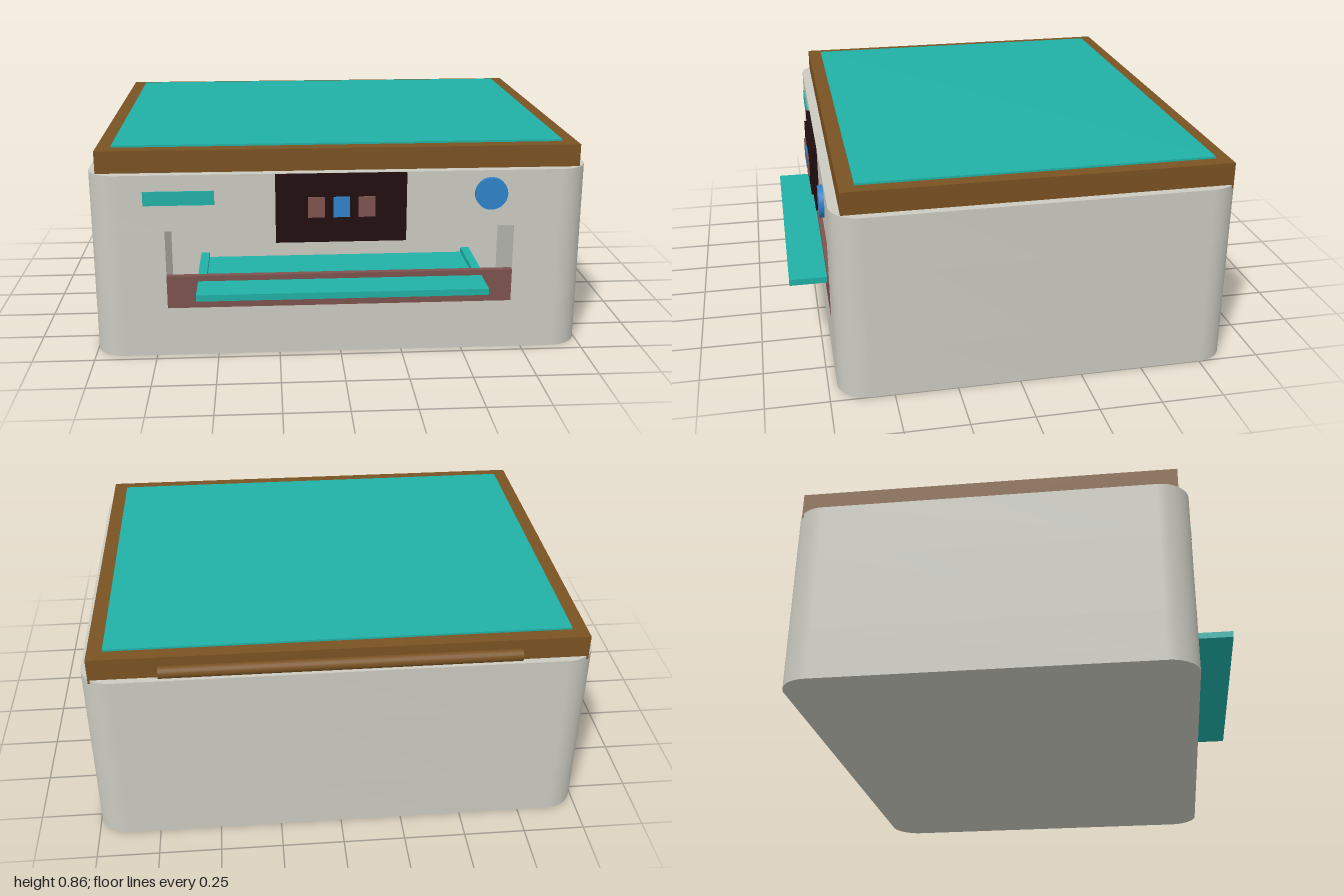
import * as THREE from 'three';
import { toCreasedNormals } from 'three/addons/utils/BufferGeometryUtils.js';

const FRONT = 0.715, BACK = -0.87;

function makeMaterial(name, color) {
  const m = new THREE.MeshStandardMaterial({ color });
  m.name = name;
  return m;
}

// Plan outline of the case (shape y = -z), optionally with a slot cut into the front
function caseOutline(slot) {
  const r = 0.12, f = -FRONT, b = -BACK;
  const s = new THREE.Shape();
  s.moveTo(-1 + r, f);
  if (slot) {
    s.lineTo(-slot.halfWidth, f);
    s.lineTo(-slot.halfWidth, -slot.back);
    s.lineTo(slot.halfWidth, -slot.back);
    s.lineTo(slot.halfWidth, f);
  }
  s.lineTo(1 - r, f);
  s.absarc(1 - r, f + r, r, -Math.PI / 2, 0);
  s.lineTo(1, b - r);
  s.absarc(1 - r, b - r, r, 0, Math.PI / 2);
  s.lineTo(-1 + r, b);
  s.absarc(-1 + r, b - r, r, Math.PI / 2, Math.PI);
  s.lineTo(-1, f + r);
  s.absarc(-1 + r, f + r, r, Math.PI, Math.PI * 1.5);
  return s;
}

export function createModel() {
  const model = new THREE.Group();
  model.name = 'printer';

  const grey = makeMaterial('warm grey', 0xcacac1);
  const brown = makeMaterial('brown', 0x7a5222);
  const teal = makeMaterial('teal', 0x20b0a6);
  const rose = makeMaterial('dusky rose', 0x7e524f);
  const dark = makeMaterial('dark maroon', 0x210c0d);
  const blue = makeMaterial('blue', 0x2e82c8);

  const add = (name, geometry, material) => {
    const mesh = new THREE.Mesh(geometry, material);
    mesh.name = name;
    model.add(mesh);
    return mesh;
  };
  // Box given by its lower and upper bounds
  const box = (name, material, [x0, x1], [y0, y1], [z0, z1]) => {
    const mesh = add(name, new THREE.BoxGeometry(x1 - x0, y1 - y0, z1 - z0), material);
    mesh.position.set((x0 + x1) / 2, (y0 + y1) / 2, (z0 + z1) / 2);
    return mesh;
  };

  // Case in three layers, the middle one holding the paper slot
  const layer = (name, y0, y1, slot) => {
    const g = new THREE.ExtrudeGeometry(caseOutline(slot), { depth: y1 - y0, bevelEnabled: false, curveSegments: 10 });
    g.rotateX(-Math.PI / 2);
    add(name, toCreasedNormals(g, 0.6), grey).position.y = y0;
  };
  layer('caseBottom', 0, 0.205);
  layer('caseMiddle', 0.205, 0.53, { halfWidth: 0.7, back: 0.42 });
  layer('caseTop', 0.53, 0.76);

  // Lid with scanner pad and rear hinge
  box('lid', brown, [-0.965, 0.965], [0.745, 0.85], [-0.842, 0.675]);
  box('lidPad', teal, [-0.905, 0.905], [0.85, 0.858], [-0.785, 0.615]);
  const hinge = add('hinge', new THREE.CylinderGeometry(0.025, 0.025, 1.4, 20), brown);
  hinge.rotation.z = Math.PI / 2;
  hinge.position.set(0, 0.785, -0.845);

  // Slot cover and output tray with side rails
  box('slotCover', rose, [-0.7, 0.7], [0.205, 0.34], [FRONT - 0.025, FRONT + 0.001]);
  box('tray', teal, [-0.575, 0.575], [0.292, 0.318], [0.425, 0.87]);
  for (const side of [-1, 1]) {
    const rail = box('trayRail', teal, [-0.0175, 0.0175], [0.318, 0.339], [0.425, 0.69]);
    rail.position.x = side * 0.5575;
  }

  // Control panel with three buttons
  box('controlPanel', dark, [-0.26, 0.26], [0.48, 0.759], [0.7, 0.732]);
  box('controlScreen', dark, [-0.2, 0.2], [0.53, 0.73], [0.732, 0.744]);
  [rose, blue, rose].forEach((material, i) => {
    const x = (i - 1) * 0.1;
    box('button', material, [x - 0.033, x + 0.033], [0.588, 0.67], [0.744, 0.752]);
  });

  // Power knob and name plate
  const knob = add('knob', new THREE.CylinderGeometry(0.065, 0.065, 0.03, 32), blue);
  knob.rotation.x = Math.PI / 2;
  knob.position.set(0.6, 0.667, 0.72);
  box('badgePlate', teal, [-0.78, -0.5], [0.638, 0.695], [FRONT - 0.002, FRONT + 0.006]);

  return model;
}
